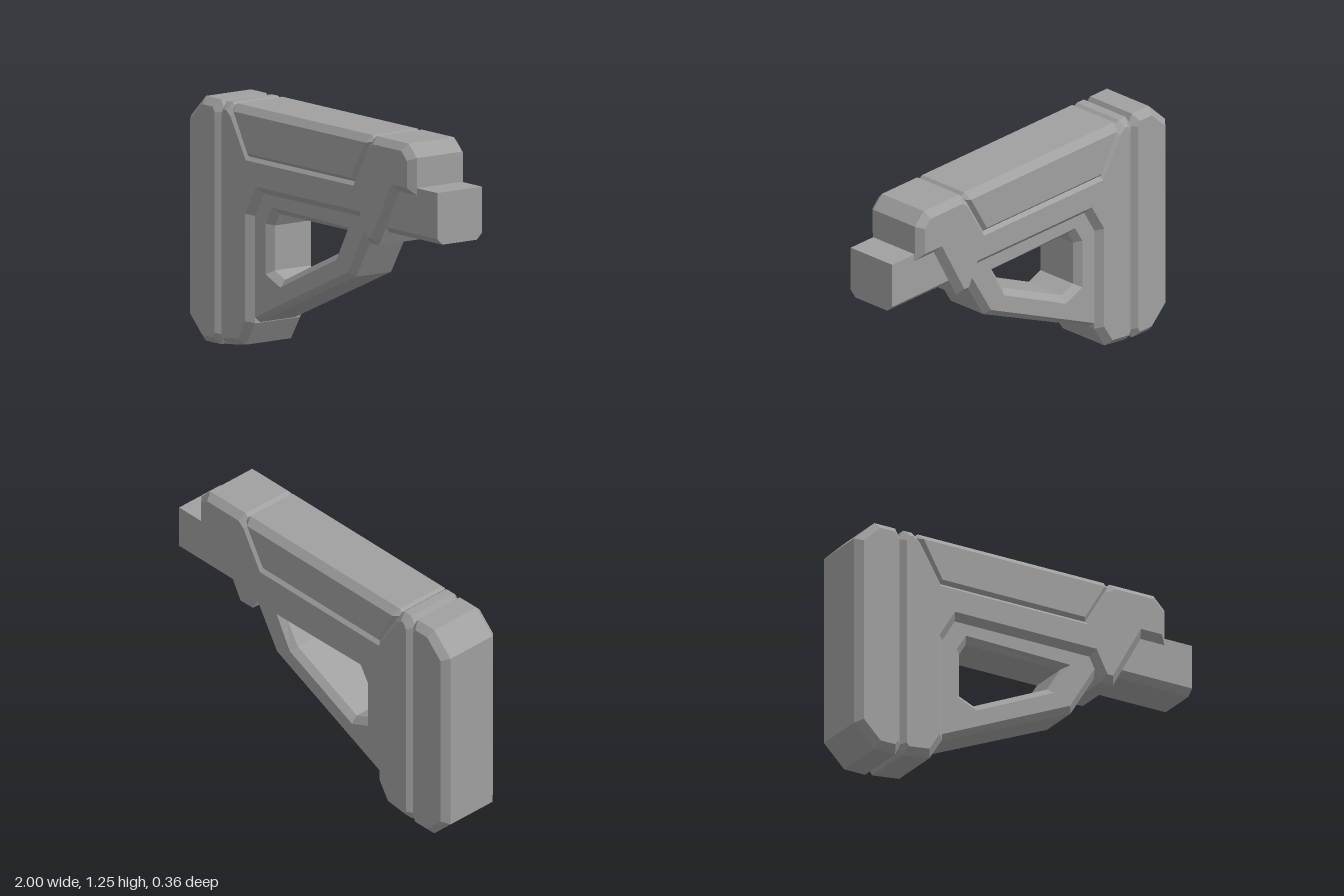
import * as THREE from 'three';

const grey = new THREE.MeshStandardMaterial({ color: 0xa0a0a0 });
grey.name = 'grey';

const toPoints = (list) => list.map(([x, y]) => new THREE.Vector2(x, y));

// Slab with the given side outline, chamfered towards both side faces.
function slab(name, outline, halfWidth, bevel, hole) {
  const shape = new THREE.Shape(toPoints(outline));
  if (hole) shape.holes.push(new THREE.Path(toPoints(hole)));
  const half = halfWidth - bevel;
  const geometry = new THREE.ExtrudeGeometry(shape, {
    depth: 2 * half,
    bevelEnabled: true,
    bevelThickness: bevel,
    bevelSize: bevel,
    bevelOffset: -bevel,
    bevelSegments: 1,
  });
  geometry.translate(0, 0, -half);
  const mesh = new THREE.Mesh(geometry, grey);
  mesh.name = name;
  return mesh;
}

export function createModel() {
  const model = new THREE.Group();
  model.name = 'shoulderStock';

  // Rear pad; its chamfer meets the body's in a shallow V seam
  model.add(slab('rearPad', [
    [-1, 0.12], [-0.88, 0.003], [-0.757, 0.003], [-0.727, 0.055],
    [-0.727, 1.2], [-0.757, 1.255], [-0.88, 1.255], [-1, 1.14],
  ], 0.18, 0.036));

  // Main body with a slot for the top panel
  model.add(slab('body', [
    [-0.745, 0.055], [-0.715, 0.01], [-0.555, 0.03], [-0.48, 0.15],
    [-0.48, 0.7], [-0.405, 0.825], [0.39, 0.825], [0.455, 0.7],
    [0.53, 0.7], [0.695, 1], [0.835, 1], [0.835, 1.19],
    [0.77, 1.255], [0.51, 1.255], [0.46, 1.215], [0.345, 1.02],
    [-0.49, 1.02], [-0.608, 1.215], [-0.66, 1.255], [-0.71, 1.255],
    [-0.745, 1.2],
  ], 0.18, 0.036));

  // Cheek panel set into the top
  model.add(slab('topPanel', [
    [-0.52, 0.985], [0.365, 0.985], [0.505, 1.225], [0.475, 1.255],
    [-0.625, 1.255], [-0.655, 1.225],
  ], 0.18, 0.036));

  // Slanted brace around the opening
  model.add(slab('brace', [
    [-0.6, 0.1], [0.3, 0.5], [0.46, 0.765], [0.46, 0.93], [-0.6, 0.93],
  ], 0.145, 0.033, [
    [-0.36, 0.435], [-0.275, 0.4], [0.16, 0.6], [0.24, 0.73],
    [-0.32, 0.73], [-0.36, 0.665],
  ]));

  // Front bar, chamfered along its lower edges
  const section = new THREE.Shape(toPoints([
    [-0.11, 0.768], [0.11, 0.768], [0.143, 0.8],
    [0.143, 1.036], [-0.143, 1.036], [-0.143, 0.8],
  ]));
  const barGeometry = new THREE.ExtrudeGeometry(section, { depth: 0.5, bevelEnabled: false });
  barGeometry.rotateY(Math.PI / 2).translate(0.5, 0, 0);
  const bar = new THREE.Mesh(barGeometry, grey);
  bar.name = 'frontBar';
  model.add(bar);

  return model;
}
